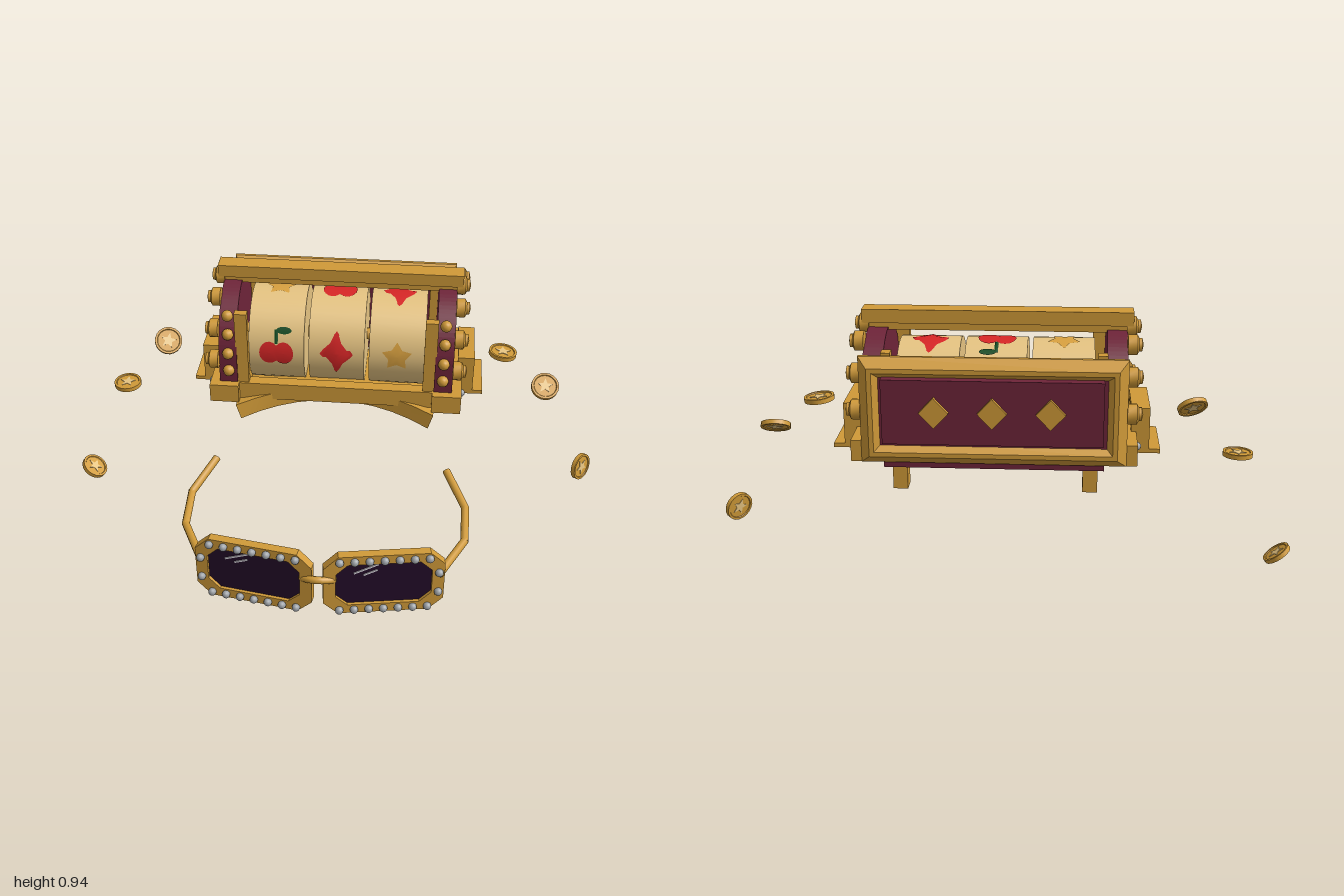
import * as THREE from 'three';
import { toCreasedNormals } from 'three/addons/utils/BufferGeometryUtils.js';

const paint = (name, color) => Object.assign(new THREE.MeshStandardMaterial({ color }), { name });

export function createModel() {
  const gold = paint('gold', 0xd09a38), maroon = paint('maroon', 0x6e2439), cream = paint('cream', 0xe6c482);
  const red = paint('red', 0xd82626), green = paint('leaf green', 0x0d4a20), dark = paint('dark purple', 0x230c28);
  const silver = paint('silver', 0x9ea3a8), white = paint('glint white', 0xe0dce4), amber = paint('amber', 0xd9a140);
  const V = (x, y, z) => new THREE.Vector3(x, y, z);
  const model = new THREE.Group();
  model.name = 'slotMachineAndGlasses';
  const body = new THREE.Group();
  body.name = 'centredParts';
  body.position.x = 0.022;
  model.add(body);

  const add = (name, geo, mat, x = 0, y = 0, z = 0, parent = body) => {
    const m = new THREE.Mesh(geo, mat);
    m.name = name;
    m.position.set(x, y, z);
    parent.add(m);
    return m;
  };
  const box = (name, mat, w, h, d, x, y, z, parent) => add(name, new THREE.BoxGeometry(w, h, d), mat, x, y, z, parent);
  const rod = (name, mat, a, b, r, parent) => {
    const dir = b.clone().sub(a), mid = a.clone().add(b).multiplyScalar(0.5);
    const m = add(name, new THREE.CylinderGeometry(r, r, dir.length() + r * 0.5, 8), mat, mid.x, mid.y, mid.z, parent);
    m.quaternion.setFromUnitVectors(V(0, 1, 0), dir.normalize());
    return m;
  };
  const poly = (pts) => new THREE.Shape(pts.map((p) => new THREE.Vector2(p[0], p[1])));
  const rect = (x0, y0, x1, y1) => [[x0, y0], [x1, y0], [x1, y1], [x0, y1]];
  const ring = (outer, inner) => {
    const s = poly(outer);
    s.holes.push(poly(inner));
    return s;
  };
  const slab = (shape, depth) => new THREE.ExtrudeGeometry(shape, { depth, bevelEnabled: false, curveSegments: 20 });
  const lathe = (pts, n) => toCreasedNormals(new THREE.LatheGeometry(pts.map((p) => new THREE.Vector2(p[0], p[1])), n), 0.7);
  const starPts = (R, r) => Array.from({ length: 10 }, (_, i) => {
    const a = Math.PI / 2 + i * Math.PI / 5, q = i % 2 ? r : R;
    return [q * Math.cos(a), q * Math.sin(a)];
  });

  // Machine centre: the drum axis and the middle of the arched sides
  const CY = 0.67, CZ = -0.295;

  // Arched side panels with base rails, bulbs and payout windows
  const arch = new THREE.Shape();
  arch.moveTo(0.08, 0.5);
  arch.lineTo(0.51, 0.5);
  arch.lineTo(0.51, CY);
  arch.absarc(-CZ, CY, 0.215, 0, Math.PI, false);
  arch.lineTo(0.08, 0.5);
  const archGeo = slab(arch, 0.065).rotateY(Math.PI / 2);
  const bulbGeo = lathe([[0, 0], [0.033, 0], [0.033, 0.03], [0.022, 0.036], [0.022, 0.045], [0, 0.05]], 12);
  const windowGeo = slab(ring(rect(0.19, 0.497, 0.408, 0.65), rect(0.216, 0.52, 0.382, 0.628)), 0.06).rotateY(Math.PI / 2);

  for (const s of [-1, 1]) {
    const side = new THREE.Group();
    side.name = s > 0 ? 'leftSide' : 'rightSide';
    body.add(side);
    add('sidePanel', archGeo, maroon, s > 0 ? 0.355 : -0.42, 0, 0, side);
    box('baseRail', gold, 0.105, 0.07, 0.485, s * 0.402, 0.535, -0.2925, side);
    for (let i = 0; i < 7; i++) {
      const a = i * Math.PI / 6;
      add('rimBulb', bulbGeo, gold, s * 0.418, CY + 0.222 * Math.sin(a), CZ + 0.222 * Math.cos(a), side)
        .rotation.z = -s * Math.PI / 2;
    }
    for (let i = 0; i < 5; i++)
      add('frontBulb', new THREE.SphereGeometry(0.021, 10, 8), gold, s * 0.385, 0.55 + i * 0.071, i < 3 ? -0.075 : -0.09 - (i - 3) * 0.01, side);
    for (const z of [-0.128, -0.46])
      add('railStud', new THREE.SphereGeometry(0.014, 10, 8), silver, s * 0.455, 0.54, z, side);
    add('payoutFrame', windowGeo, gold, s > 0 ? 0.438 : -0.498, 0, 0, side);
    box('payoutOpening', dark, 0.008, 0.115, 0.172, s * 0.458, 0.574, -0.299, side);
    box('payoutLip', gold, 0.07, 0.014, 0.214, s * 0.5, 0.503, -0.3, side);
    // Inner posts and back legs
    box('innerPost', gold, 0.045, 0.32, 0.03, s * 0.337, 0.69, -0.1, side);
    box('innerBackPost', gold, 0.03, 0.32, 0.04, s * 0.34, 0.69, -0.48, side);
    box('innerSill', gold, 0.03, 0.05, 0.4, s * 0.34, 0.53, -0.3, side);
    box('backLeg', gold, 0.048, 0.14, 0.055, s * 0.308, 0.45, -0.4425, side);
  }

  // Cross bars
  box('topBar', gold, 0.88, 0.045, 0.066, 0, 0.922, -0.295);
  box('topBarUnderside', gold, 0.84, 0.025, 0.045, 0, 0.888, -0.295);
  box('frontRail', gold, 0.72, 0.065, 0.045, 0, 0.535, -0.1);
  box('backSill', maroon, 0.7, 0.03, 0.03, 0, 0.495, -0.515);

  // Back panel: bevelled frame, maroon plate, diamonds
  const frame = new THREE.ExtrudeGeometry(
    ring(rect(-0.39, 0.53, 0.39, 0.82), rect(-0.375, 0.545, 0.375, 0.805)),
    { depth: 0.012, bevelSize: 0.03, bevelThickness: 0.034, bevelSegments: 1 });
  add('backFrame', frame, gold, 0, 0, -0.536);
  box('backPlate', maroon, 0.75, 0.26, 0.05, 0, 0.675, -0.525);
  box('backInset', maroon, 0.69, 0.21, 0.03, 0, 0.685, -0.57);
  for (const x of [-0.181, 0, 0.181])
    add('backDiamond', slab(poly([[0.046, 0], [0, 0.05], [-0.046, 0], [0, -0.05]]), 0.014), gold, x, 0.688, -0.599);

  // Curved arch support under the front: bent up and back towards the middle
  const bend = new THREE.BoxGeometry(0.7, 0.058, 0.2, 10, 1, 1);
  const bp = bend.attributes.position;
  for (let i = 0; i < bp.count; i++) {
    const u = bp.getX(i) / 0.35, k = 1 - u * u;
    bp.setX(i, bp.getX(i) - u * Math.abs(u) * bp.getY(i) * -0.3);
    bp.setY(i, bp.getY(i) + 0.468 + 0.05 * k);
    bp.setZ(i, bp.getZ(i) - 0.135 - (bp.getZ(i) > 0 ? 0.075 : 0.17) * k);
  }
  add('archSupport', toCreasedNormals(bend.toNonIndexed(), 0.1), gold);

  // Reel drum with symbols wrapped on its surface
  const R = 0.175;
  rod('axle', gold, V(-0.36, CY, CZ), V(0.36, CY, CZ), 0.022);
  const wrap = (name, mat, pts, cx, u0, v0, a0, lift = 0.003) => {
    const pos = [], idx = [], n = pts.length, rings = 4;
    for (let k = 0; k <= rings; k++) for (const [u, v] of pts) {
      const a = a0 + (v0 + v * k / rings) / R;
      pos.push(cx + u0 + u * k / rings, CY + (R + lift) * Math.sin(a), CZ + (R + lift) * Math.cos(a));
    }
    for (let k = 0; k < rings; k++) for (let i = 0; i < n; i++) {
      const a = k * n + i, b = k * n + (i + 1) % n;
      idx.push(a, a + n, b + n, a, b + n, b);
    }
    const g = new THREE.BufferGeometry();
    g.setAttribute('position', new THREE.Float32BufferAttribute(pos, 3));
    g.setIndex(idx);
    g.computeVertexNormals();
    add(name, g, mat);
  };
  const oval = (w, h) => Array.from({ length: 16 }, (_, i) => [w * Math.cos(i * Math.PI / 8), h * Math.sin(i * Math.PI / 8)]);
  const symbols = {
    cherry(x, a) {
      for (const s of [-1, 1]) wrap('cherry', red, oval(0.036, 0.044), x, s * 0.026, -0.008, a, 0.003 + s * 0.0005);
      wrap('cherryStem', green, rect(-0.006, -0.026, 0.006, 0.026), x, 0, 0.055, a, 0.004);
      wrap('cherryLeaf', green, oval(0.028, 0.013), x, 0.027, 0.078, a, 0.0045);
    },
    diamond: (x, a) => wrap('redDiamond', red, [[0.06, 0], [0, 0.085], [-0.06, 0], [0, -0.085]], x, 0, 0, a),
    star: (x, a) => wrap('reelStar', amber, starPts(0.056, 0.032), x, 0, 0, a),
  };
  const order = ['cherry', 'star', 'diamond', 'cherry', 'star', 'diamond'];
  [0, 2, 1].forEach((start, r) => {
    const x = (r - 1) * 0.217;
    add('reel', new THREE.CylinderGeometry(R, R, 0.2, 40).rotateZ(Math.PI / 2), cream, x, CY, CZ);
    const cycle = r === 1 ? ['diamond', 'cherry', 'diamond', 'star'] : r === 2 ? ['star', 'diamond', 'cherry', 'star'] : order.slice(start);
    for (let k = 0; k < 4; k++) symbols[cycle[k]](x, 0.08 + k * Math.PI / 2);
  });

  // Glasses: octagonal frames, lenses, gems, glints, temples
  const octagon = (w, h, c) => [[-w + c, -h], [w - c, -h], [w, -h + c], [w, h - c], [w - c, h], [-w + c, h], [-w, h - c], [-w, -h + c]];
  const rimGeo = slab(ring(octagon(0.204, 0.127, 0.05), octagon(0.162, 0.09, 0.04)), 0.03);
  const lensGeo = slab(poly(octagon(0.164, 0.092, 0.04)), 0.009);
  const gemGeo = new THREE.IcosahedronGeometry(0.0145, 1);
  for (const s of [-1, 1]) {
    const half = new THREE.Group();
    half.name = s > 0 ? 'leftEyepiece' : 'rightEyepiece';
    half.position.set(s * 0.218, 0.212, 0.53);
    half.rotation.y = s * 0.165;
    body.add(half);
    add('rim', rimGeo, gold, 0, 0, -0.012, half);
    add('lens', lensGeo, dark, 0, 0, -0.002, half);
    for (let i = 0; i < 7; i++) for (const t of [-1, 1])
      add('gem', gemGeo, silver, (i - 3) * 0.05, t * 0.108, 0.024, half);
    for (const t of [-1, 1]) add('gem', gemGeo, silver, s * 0.184, t * 0.043, 0.024, half);
    for (const [x, y, w] of [[-0.06, 0.063, 0.09], [-0.045, 0.046, 0.05]])
      box('glint', white, w, 0.006, 0.004, x, y, 0.008, half).rotation.z = 0.42;
    const arm = [V(s * 0.405, 0.245, 0.515), V(s * 0.487, 0.25, 0.35), V(s * 0.487, 0.285, 0.215), V(s * 0.418, 0.34, 0.085)];
    for (let i = 0; i < 3; i++) rod('temple', gold, arm[i], arm[i + 1], 0.014);
  }
  const bridge = new THREE.QuadraticBezierCurve3(V(-0.055, 0.232, 0.562), V(0, 0.26, 0.612), V(0.055, 0.232, 0.562));
  add('bridge', new THREE.TubeGeometry(bridge, 8, 0.013, 8), gold);

  // Floating coins with a raised star on both faces: position, then facing
  const coinGeo = lathe([[0, -0.005], [0.041, -0.005], [0.043, -0.008], [0.051, -0.008], [0.051, 0.008], [0.043, 0.008], [0.041, 0.005], [0, 0.005]], 20);
  const coinStar = slab(poly(starPts(0.03, 0.013)), 0.014).translate(0, 0, -0.007).rotateX(-Math.PI / 2);
  const coins = [
    [V(-0.625, 0.61, -0.27), V(0.25, 0.65, 0.7)], [V(-0.79, 0.433, -0.235), V(-0.03, 1, 0.05)],
    [V(-0.957, 0.042, -0.197), V(0.58, 0.8, 0.1)], [V(0.625, 0.624, -0.283), V(0.1, 1, 0)],
    [V(0.79, 0.508, -0.246), V(0.05, 0.8, 0.58)], [V(0.957, 0.18, -0.2), V(0.75, 0.15, 0.62)],
  ];
  for (const [p, n] of coins) {
    const coin = new THREE.Group();
    coin.name = 'coin';
    coin.position.copy(p);
    coin.quaternion.setFromUnitVectors(V(0, 1, 0), n.normalize());
    model.add(coin);
    add('coinDisc', coinGeo, gold, 0, 0, 0, coin);
    add('coinStar', coinStar, cream, 0, 0, 0, coin);
  }
  return model;
}
